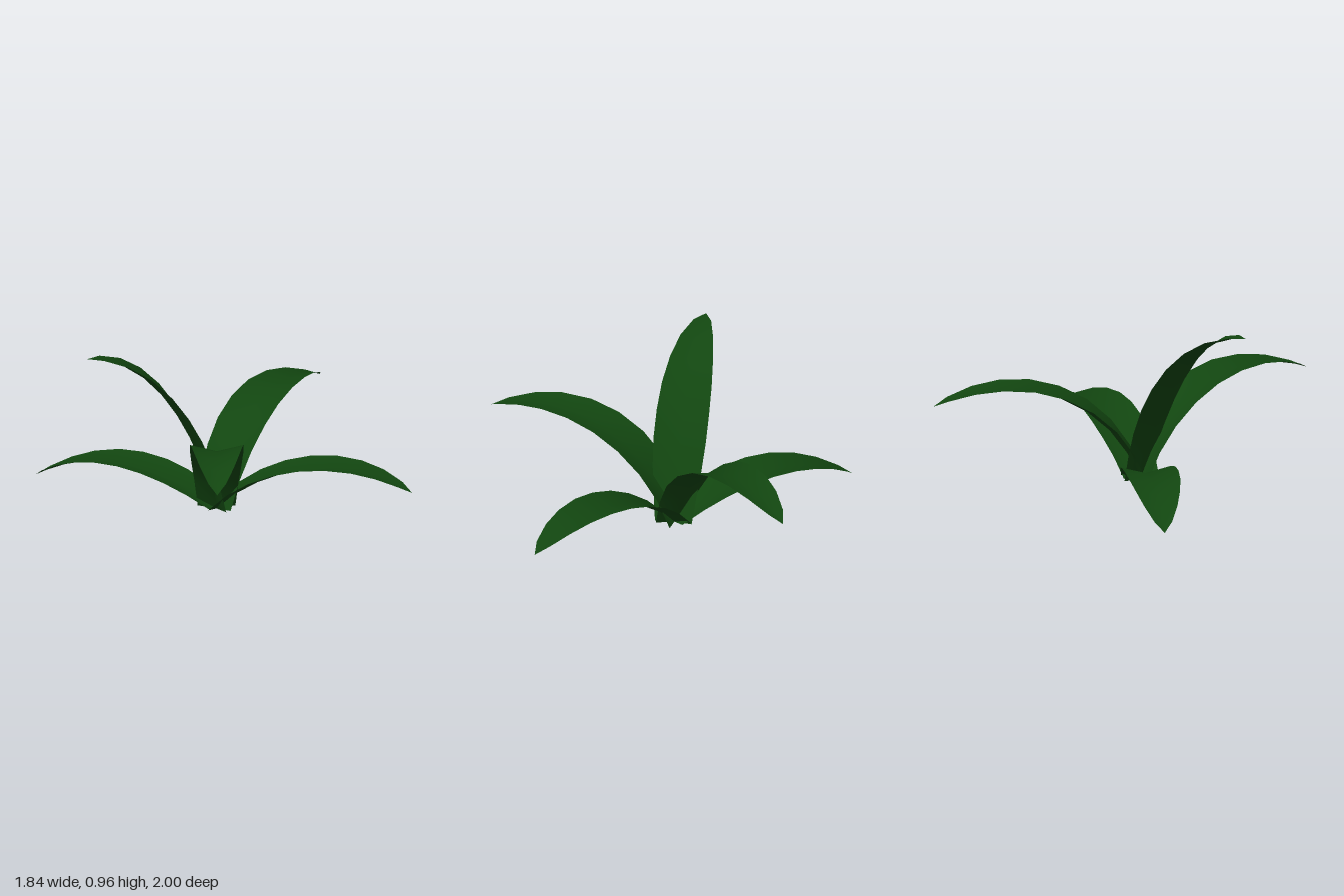
import * as THREE from 'three';

// Half width of a leaf at fractions of its length: [fraction, half width]
const OUTLINE = [
  [0, 0.108], [0.12, 0.126], [0.24, 0.144], [0.36, 0.154], [0.48, 0.154],
  [0.6, 0.146], [0.72, 0.126], [0.83, 0.096], [0.935, 0.051], [1, 0],
];

// Where all leaves meet
const CENTRE = [-0.08, -0.155];

// Tip position, then the two spine handles as [reach, height]
const LEAVES = [
  { name: 'frontLeaf', tip: [-0.39, 0.47, 0.998], h1: [0.17, 0.48], h2: [0.67, 0.69] },
  { name: 'frontLeftLeaf', tip: [0.922, 0.19, 0.425], h1: [0.21, 0.225], h2: [0.7, 0.43] },
  { name: 'backLeftLeaf', tip: [0.763, 0.47, -1.0], h1: [0.17, 0.48], h2: [0.67, 0.69] },
  { name: 'backRightLeaf', tip: [-0.922, 0.01, -1.0], h1: [0.25, 0.125], h2: [0.7, 0.305] },
  { name: 'uprightRightLeaf', tip: [-0.848, 0.965, -0.155], h1: [0.17, 0.62], h2: [0.435, 0.945] },
];

// Leaf blade along +z: a bent spine with both edges raised into a gutter
function leafGeometry(reach, height, h1, h2) {
  const spine = new THREE.CubicBezierCurve3(
    new THREE.Vector3(0, 0, 0),
    new THREE.Vector3(0, h1[1], h1[0]),
    new THREE.Vector3(0, h2[1], h2[0]),
    new THREE.Vector3(0, height, reach),
  );
  const positions = [];
  const index = [];
  OUTLINE.forEach(([s, w], i) => {
    const p = spine.getPointAt(s);
    const t = spine.getTangentAt(s);
    for (const side of [-1, 0, 1]) {
      const lift = Math.abs(side) * w * (0.27 - 0.08 * s);
      positions.push(side * w, p.y + t.z * lift, p.z - t.y * lift);
    }
    if (i === 0) return;
    for (let j = 0; j < 2; j++) {
      const a = (i - 1) * 3 + j;
      const c = a + 3;
      index.push(a, c, a + 1, a + 1, c, c + 1);
    }
  });
  const geometry = new THREE.BufferGeometry();
  geometry.setAttribute('position', new THREE.Float32BufferAttribute(positions, 3));
  geometry.setIndex(index);
  geometry.computeVertexNormals();
  return geometry;
}

export function createModel() {
  const group = new THREE.Group();
  group.name = 'plant';
  const green = new THREE.MeshStandardMaterial({ color: 0x124610, side: THREE.DoubleSide });

  // Five arching leaves around one centre
  for (const { name, tip, h1, h2 } of LEAVES) {
    const dx = tip[0] - CENTRE[0];
    const dz = tip[2] - CENTRE[1];
    const leaf = new THREE.Mesh(leafGeometry(Math.hypot(dx, dz), tip[1], h1, h2), green);
    leaf.name = name;
    leaf.position.set(CENTRE[0], 0, CENTRE[1]);
    leaf.rotation.y = Math.atan2(dx, dz);
    group.add(leaf);
  }
  return group;
}
